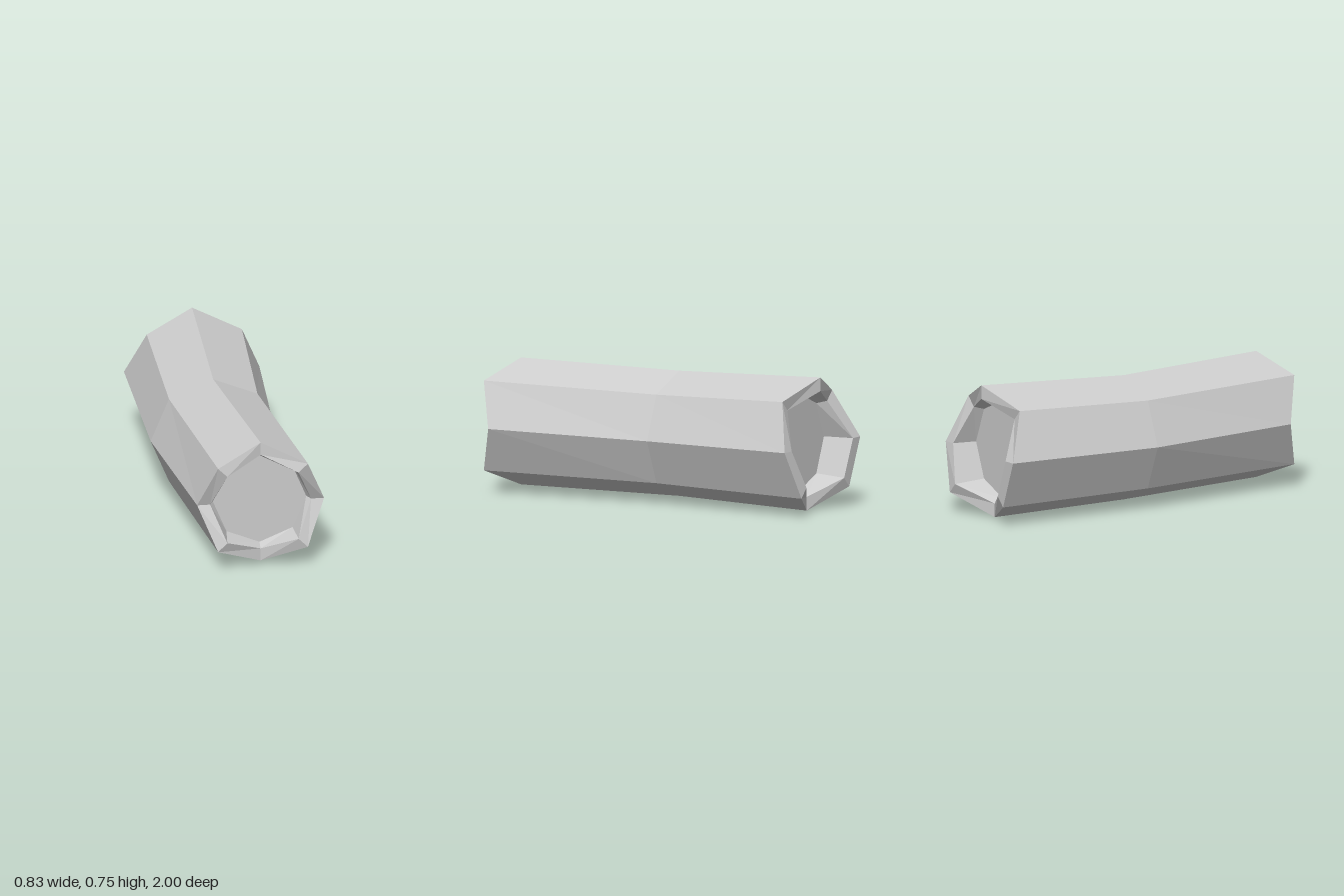
import * as THREE from 'three';

const SIDES = 8;

// Joins eight-sided rings, ordered front to back, into a flat-shaded skin.
// ring: { x, y, r, z } where z is one depth per corner, counted from +x.
function loft(rings) {
  const corner = (ring, j) => {
    const k = j % SIDES, a = (k / SIDES) * Math.PI * 2;
    return [ring.x + ring.r * Math.cos(a), ring.y + ring.r * Math.sin(a), ring.z[k]];
  };
  const pos = [];
  for (let i = 0; i + 1 < rings.length; i++) {
    for (let j = 0; j < SIDES; j++) {
      const a = corner(rings[i], j), b = corner(rings[i], j + 1);
      const c = corner(rings[i + 1], j), d = corner(rings[i + 1], j + 1);
      pos.push(...a, ...c, ...b, ...b, ...c, ...d);
    }
  }
  const geo = new THREE.BufferGeometry();
  geo.setAttribute('position', new THREE.Float32BufferAttribute(pos, 3));
  geo.computeVertexNormals();
  return geo;
}

export function createModel() {
  const group = new THREE.Group();
  group.name = 'hollowLog';
  const grey = new THREE.MeshStandardMaterial({ color: 0xcccccc, flatShading: true });
  grey.name = 'plain grey';

  const add = (name, geo) => {
    const mesh = new THREE.Mesh(geo, grey);
    mesh.name = name;
    group.add(mesh);
    return mesh;
  };
  const flat = (z) => Array(SIDES).fill(z);

  // Jagged depths of the two broken ends
  const frontZ = [0.91, 1, 0.91, 1, 0.91, 1, 0.91, 1];
  const backZ = [-0.957, -0.877, -0.963, -0.88, -0.995, -0.99, -0.875, -1];

  const front = { x: 0.06, y: 0.383, r: 0.356, z: frontZ };
  const middle = { x: -0.062, y: 0.371, r: 0.351, z: flat(-0.04) };
  const back = { x: -0.041, y: 0.381, r: 0.377, z: backZ };
  const frontRim = { ...front, r: 0.283 }, backRim = { ...back, r: 0.3 };
  const frontFloor = { ...front, r: 0.262, z: flat(0.866) };
  const backFloor = { ...back, r: 0.278, z: flat(-0.82) };

  // Bent bark, jagged rims and the short walls inside each end
  add('bark', loft([front, middle, back]));
  add('frontRim', loft([frontFloor, frontRim, front]));
  add('backRim', loft([back, backRim, backFloor]));

  // Sunken cut faces
  for (const [name, ring, turn] of [['frontCut', frontFloor, 0], ['backCut', backFloor, Math.PI]]) {
    const cut = add(name, new THREE.CircleGeometry(ring.r, SIDES));
    cut.position.set(ring.x, ring.y, ring.z[0]);
    cut.rotation.y = turn;
  }
  return group;
}
